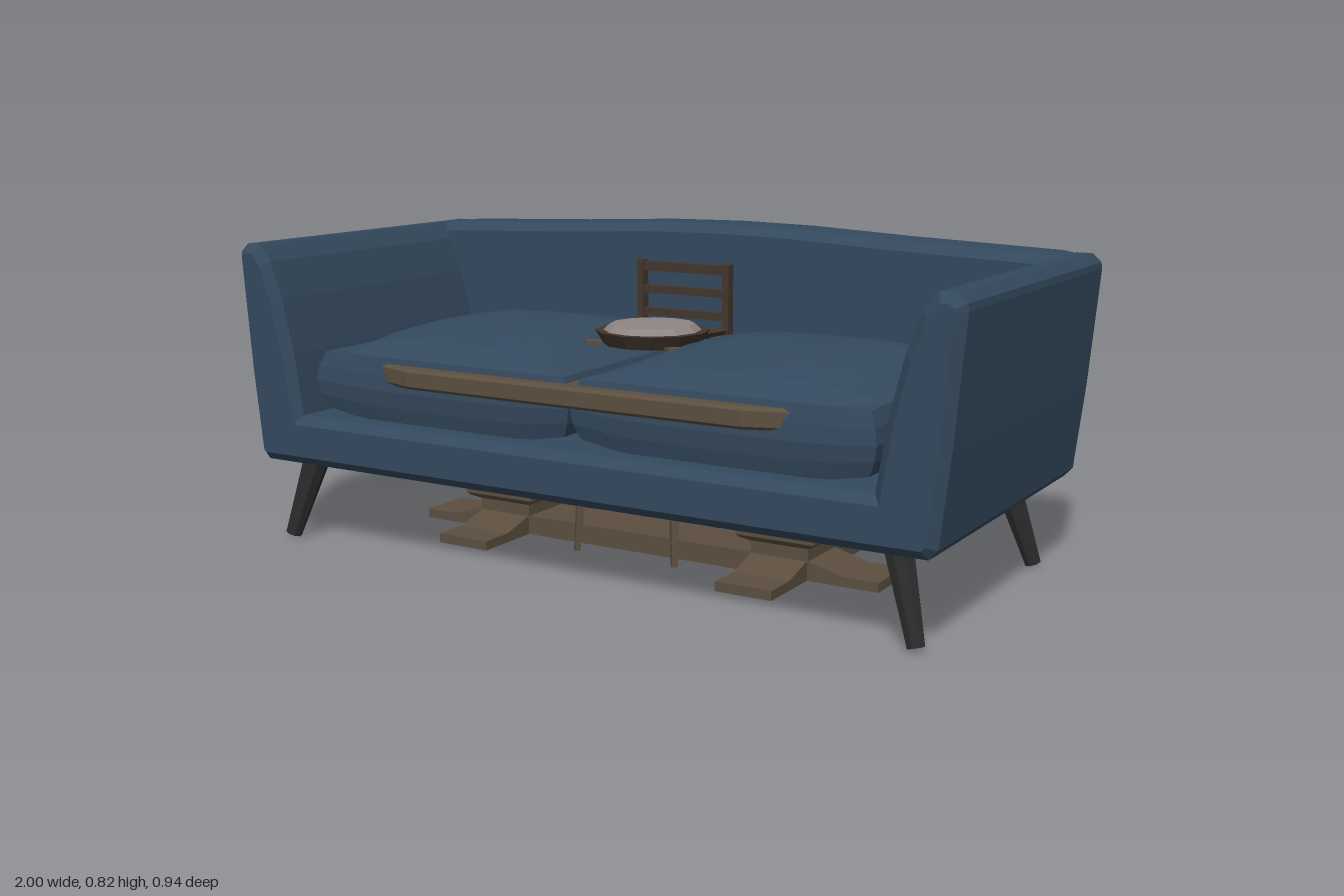
import * as THREE from 'three';

const mat = (color) => new THREE.MeshStandardMaterial({ color, flatShading: true, side: THREE.DoubleSide });
const FABRIC = mat(0x34495e), DARK = mat(0x2c2c2c), WOOD = mat(0x5c4f40), CHAIR = mat(0x42362d), PAD = mat(0x8f8583);
const TABLE_Z = 0.037;

function add(parent, name, geometry, material, x = 0, y = 0, z = 0) {
  const mesh = new THREE.Mesh(geometry, material);
  mesh.name = name;
  mesh.position.set(x, y, z);
  parent.add(mesh);
  return mesh;
}

// Shape symmetric about x = 0 from its right half, listed bottom to top
function mirrored(half) {
  const left = half.slice().reverse().filter(([x]) => x > 0).map(([x, y]) => [-x, y]);
  return new THREE.Shape([...half, ...left].map(([x, y]) => new THREE.Vector2(x, y)));
}

// Extrusion between two z planes, chamfered inside its outline
function slab(shape, z0, z1, b) {
  const g = new THREE.ExtrudeGeometry(shape, {
    depth: z1 - z0 - 2 * b, bevelEnabled: b > 0, bevelSize: b, bevelThickness: b,
    bevelOffset: -b, bevelSegments: 1, curveSegments: 8,
  });
  return g.translate(0, 0, z0 + b);
}

// Tapered round or square bar between two points
function bar(parent, name, a, b, ra, rb, sides, material) {
  const from = new THREE.Vector3(...a), to = new THREE.Vector3(...b);
  const dir = to.clone().sub(from);
  const mesh = add(parent, name, new THREE.CylinderGeometry(rb, ra, dir.length(), sides), material);
  mesh.position.copy(from).add(to).multiplyScalar(0.5);
  mesh.quaternion.setFromUnitVectors(new THREE.Vector3(0, 1, 0), dir.normalize());
}

// Plump seat cushion: domed top, bulging front, slightly narrower at the back
function cushionGeometry() {
  const g = new THREE.BoxGeometry(1, 1, 1, 8, 4, 8);
  const p = g.attributes.position;
  for (let i = 0; i < p.count; i++) {
    const u = p.getX(i) * 2, v = p.getY(i) + 0.5, w = p.getZ(i) * 2;
    const dome = (1 - u ** 4) * (1 - w ** 4);
    const edge = Math.sin(Math.PI * v);
    const back = (1 - w) / 2;
    const half = 0.372 + 0.022 * edge - 0.014 * back;
    const top = 0.505 + 0.025 * (1 - u ** 4) * (1 - Math.max(w, 0)) + 0.042 * dome;
    const bottom = 0.335 + 0.025 * u ** 4;
    p.setXYZ(i, 0.396 + u * half, bottom + (top - bottom) * v, 0.05 + w * (0.345 + 0.015 * edge));
  }
  return g;
}

function buildSofa() {
  const sofa = new THREE.Group();
  sofa.name = 'sofa';
  // Seat base and both arms in one U-shaped section
  const frame = mirrored([
    [0.93, 0.212], [0.95, 0.235], [0.975, 0.45], [1, 0.74], [0.998, 0.757], [0.975, 0.778],
    [0.935, 0.778], [0.9, 0.735], [0.865, 0.64], [0.83, 0.5], [0.805, 0.34],
  ]);
  add(sofa, 'baseAndArms', slab(frame, -0.47, 0.47, 0.022), FABRIC);
  // Backrest with a gently crowned top
  const back = mirrored([[0.92, 0.25], [0.955, 0.6], [0.965, 0.772], [0.9, 0.782], [0.5, 0.797], [0.22, 0.811], [0, 0.815]]);
  add(sofa, 'backrest', slab(back, -0.47, -0.302, 0.024), FABRIC);

  for (const s of [-1, 1]) {
    const side = s > 0 ? 'left' : 'right';
    const cushion = cushionGeometry();
    if (s < 0) cushion.rotateY(Math.PI).translate(0, 0, 0.1);
    // Turned cushion needs its front and back swapped again
    if (s < 0) {
      const p = cushion.attributes.position, idx = cushion.index.array;
      for (let i = 0; i < p.count; i++) p.setZ(i, 0.1 - p.getZ(i));
      for (let i = 0; i < idx.length; i += 3) [idx[i], idx[i + 1]] = [idx[i + 1], idx[i]];
    }
    cushion.computeVertexNormals();
    add(sofa, side + 'Cushion', cushion, FABRIC);
    bar(sofa, side + 'FrontLeg', [s * 0.892, 0.003, 0.41], [s * 0.825, 0.23, 0.372], 0.021, 0.036, 8, DARK);
    bar(sofa, side + 'BackLeg', [s * 0.892, 0.003, -0.342], [s * 0.825, 0.23, -0.3], 0.021, 0.036, 8, DARK);
  }
  return sofa;
}

function buildTable() {
  const table = new THREE.Group();
  table.name = 'table';
  table.position.z = TABLE_Z;
  // Rounded top with a chamfered rim
  const outline = mirrored([[0.47, -0.4], [0.62, -0.35], [0.74, -0.24], [0.78, 0], [0.74, 0.24], [0.62, 0.35], [0.47, 0.4]]);
  add(table, 'tableTop', slab(outline, 0, 0.052, 0.008).rotateX(-Math.PI / 2), WOOD, 0, 0.438, 0);

  // Foot with two sloping arms, reused in both directions
  const foot = slab(mirrored([[0.262, 0.01], [0.262, 0.034], [0.17, 0.034], [0.075, 0.06]]), -0.075, 0.075, 0);
  add(table, 'stretcher', new THREE.BoxGeometry(0.82, 0.05, 0.15), WOOD, 0, 0.035, 0);
  const profile = [[0.078, 0.05], [0.078, 0.09], [0.098, 0.1], [0.105, 0.108], [0.105, 0.128], [0.088, 0.135],
    [0.09, 0.17], [0.065, 0.215], [0.05, 0.26], [0.05, 0.4], [0.085, 0.44]]
    .map(([r, y]) => new THREE.Vector2(r * Math.SQRT2, y));
  for (const x of [-0.41, 0.41]) {
    add(table, 'footAcross', foot, WOOD, x, 0, 0).rotation.y = Math.PI / 2;
    add(table, 'footAlong', foot, WOOD, x, 0, 0);
    add(table, 'pedestal', new THREE.LatheGeometry(profile, 4, Math.PI / 4), WOOD, x, 0, 0);
  }
  return table;
}

function buildChair() {
  const chair = new THREE.Group();
  chair.name = 'chair';
  const z = 0.03;
  add(chair, 'seatRim', new THREE.CylinderGeometry(0.146, 0.125, 0.035, 12), CHAIR, 0, 0.557, z);
  add(chair, 'seatPad', new THREE.CylinderGeometry(0.108, 0.125, 0.016, 12), PAD, 0, 0.582, z);
  add(chair, 'lowerPad', new THREE.CylinderGeometry(0.1, 0.12, 0.03, 12), PAD, 0, 0.355, z);
  for (const s of [-1, 1]) {
    bar(chair, 'frontLeg', [s * 0.145, 0.006, 0.165], [s * 0.12, 0.55, 0.125], 0.01, 0.03, 4, WOOD);
    bar(chair, 'backLeg', [s * 0.107, 0.006, -0.103], [s * 0.12, 0.55, -0.09], 0.01, 0.03, 4, WOOD);
    add(chair, 'backPost', new THREE.BoxGeometry(0.018, 0.19, 0.026), CHAIR, s * 0.128, 0.636, -0.13);
    bar(chair, 'postBracket', [s * 0.125, 0.56, -0.13], [s * 0.105, 0.56, -0.04], 0.012, 0.012, 4, CHAIR);
  }
  // Back rails
  for (const [y, h] of [[0.715, 0.024], [0.655, 0.02], [0.595, 0.02]]) {
    add(chair, 'backRail', new THREE.BoxGeometry(0.27, h, 0.018), CHAIR, 0, y, -0.13);
  }
  return chair;
}

export function createModel() {
  const model = new THREE.Group();
  model.name = 'sofaWithTableAndChair';
  model.add(buildSofa(), buildTable(), buildChair());
  return model;
}
